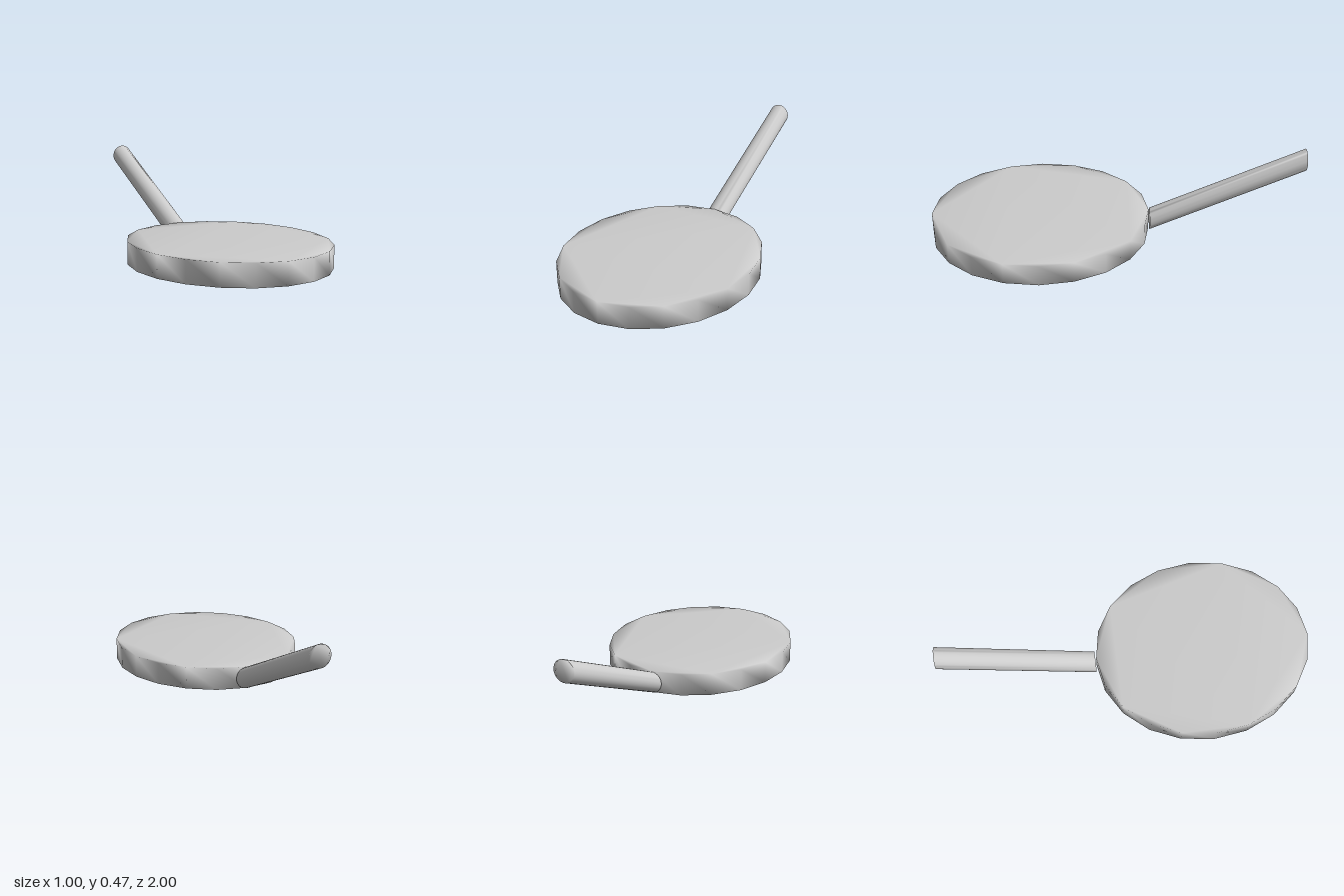
import * as THREE from 'three';
import { mergeVertices } from 'three/addons/utils/BufferGeometryUtils.js';

const THICKNESS = 0.117;

// Elliptical prism along +z, with normals shared between caps and sides
function softPrism(rx, ry, sides, depth) {
  const points = [];
  for (let i = 0; i < sides; i++) {
    const a = Math.PI / 2 + (i / sides) * Math.PI * 2;
    points.push(new THREE.Vector2(Math.cos(a) * rx, Math.sin(a) * ry));
  }
  const extruded = new THREE.ExtrudeGeometry(new THREE.Shape(points), { depth, bevelEnabled: false });
  extruded.deleteAttribute('normal');
  extruded.deleteAttribute('uv');
  return mergeVertices(extruded, 1e-4);
}

export function createModel() {
  const group = new THREE.Group();
  const material = new THREE.MeshStandardMaterial({ color: 0xcccccc });
  const add = (name, geometry) => {
    geometry.computeVertexNormals();
    const mesh = new THREE.Mesh(geometry, material);
    mesh.name = name;
    group.add(mesh);
  };

  // Flat oval blade lying on the ground
  const blade = softPrism(0.5, 0.585, 20, THICKNESS);
  blade.rotateX(-Math.PI / 2).translate(0, 0, 0.415);
  add('blade', blade);

  // Round handle, sheared upwards so both ends stay vertical
  const length = 0.825;
  const rise = 0.355;
  const handle = softPrism(0.057, THICKNESS / 2, 32, length);
  handle.translate(0, 0, -length);
  handle.applyMatrix4(new THREE.Matrix4().makeShear(0, 0, 0, 0, 0, -rise / length));
  handle.translate(0, THICKNESS / 2, length - 1);
  add('handle', handle);

  return group;
}
